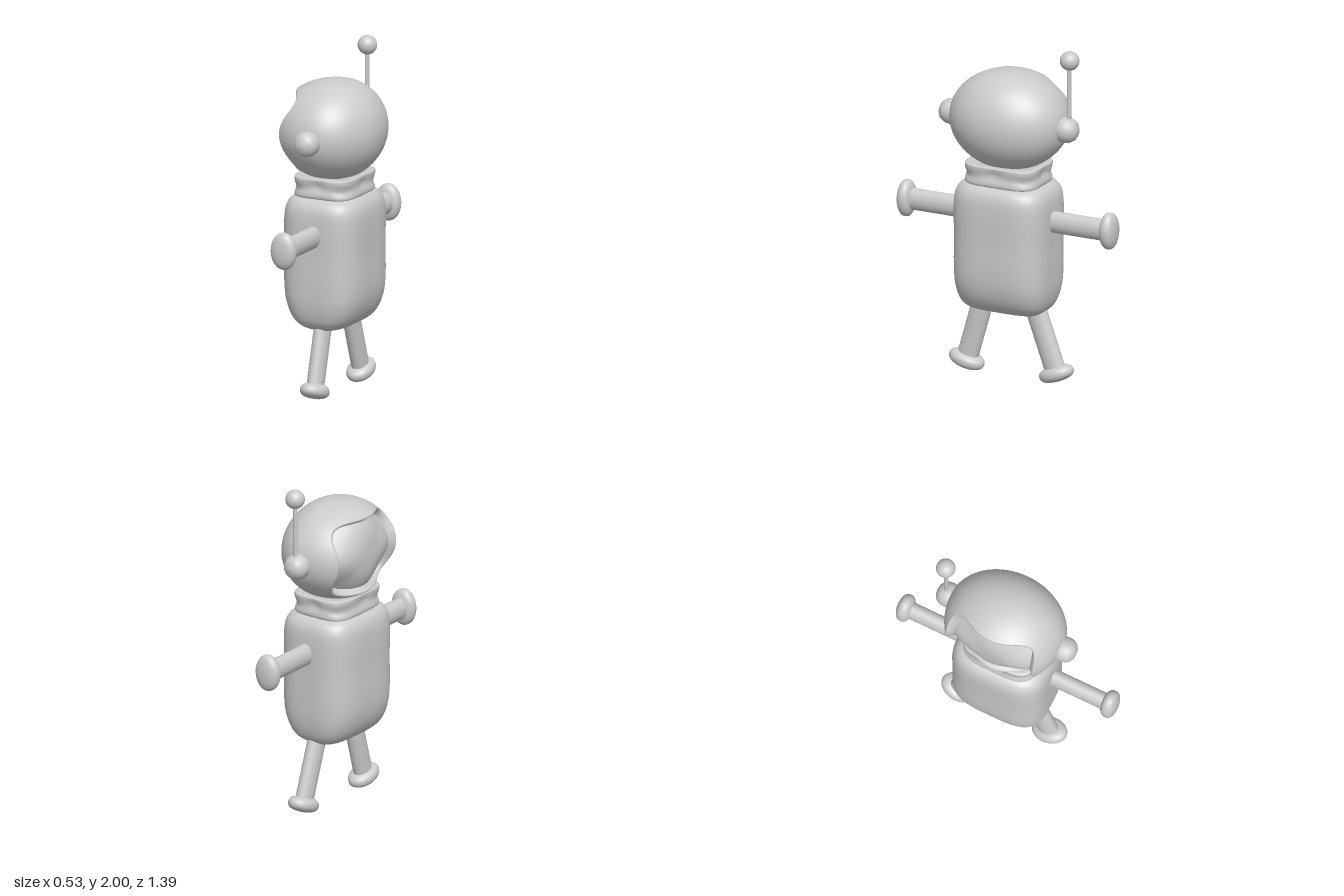
import * as THREE from 'three';

const grey = new THREE.MeshStandardMaterial({ color: 0xcccccc, side: THREE.DoubleSide });
const part = (geometry, name) => {
  const mesh = new THREE.Mesh(geometry, grey);
  mesh.name = name;
  return mesh;
};

// Closed-around grid: fn(angle, v) -> [x, y, z], v from 0 to 1
function ringGrid(fn, around, rows) {
  const pos = [], index = [];
  for (let j = 0; j <= rows; j++) {
    for (let i = 0; i < around; i++) pos.push(...fn((i / around) * Math.PI * 2, j / rows));
  }
  for (let j = 0; j < rows; j++) {
    for (let i = 0; i < around; i++) {
      const a = j * around + i, b = j * around + ((i + 1) % around);
      index.push(a, b, a + around, b, b + around, a + around);
    }
  }
  const g = new THREE.BufferGeometry();
  g.setAttribute('position', new THREE.Float32BufferAttribute(pos, 3));
  g.setIndex(index);
  g.computeVertexNormals();
  return g;
}

// Radius of a unit superellipse in direction a
const superRadius = (a, n) =>
  Math.pow(Math.abs(Math.cos(a)) ** n + Math.abs(Math.sin(a)) ** n, -1 / n);

// Upright loft through [y, half width x, half width z] sections
function loft(sections, cx, n, rows, fold = () => 1) {
  const curve = new THREE.CatmullRomCurve3(
    sections.map(([y, hx, hz]) => new THREE.Vector3(hx, y, hz)), false, 'centripetal');
  return ringGrid((a, v) => {
    const p = curve.getPoint(v), r = superRadius(a, n) * fold(a, p.y);
    return [cx + p.x * r * Math.cos(a), p.y, -p.z * r * Math.sin(a)];
  }, 64, rows);
}

// Helmet surface: an egg about the x axis, longer towards the face opening
const CX = -0.02, CY = 1.54, CZ = -0.005;
const onHelmet = (a, s, x) => [x, CY + 0.29 * s * Math.sin(a), CZ + 0.355 * s * Math.cos(a)];
const openingS = (a) => 0.79 * superRadius(a, 3.5);
const openingX = (a) => CX - 0.36 * Math.sqrt(1 - openingS(a) ** 2);

function helmet() {
  const group = new THREE.Group();
  group.name = 'helmet';
  const shell = ringGrid((a, v) => {
    const phi = v * (Math.PI - Math.asin(openingS(a)));
    const c = Math.cos(phi);
    return onHelmet(a, Math.sin(phi), CX + (c > 0 ? 0.28 : 0.36) * c);
  }, 80, 40);

  // Lip rolls from the shell edge down into the groove round the visor
  const lip = [[1, 0], [0.975, -0.005], [0.94, 0], [0.9, 0.014], [0.86, 0.028]];
  const rim = ringGrid((a, v) => {
    const [k, dx] = lip[Math.round(v * 4)];
    return onHelmet(a, openingS(a) * k, openingX(a) + dx);
  }, 80, 4);

  const visor = ringGrid((a, v) => {
    const k = 1 - v, edge = openingX(a) + 0.028;
    return onHelmet(a, openingS(a) * 0.86 * k, -0.258 + (edge + 0.258) * k ** 3);
  }, 80, 16);

  group.add(part(shell, 'helmetShell'), part(rim, 'visorRim'), part(visor, 'visor'));

  // Ear caps on both sides
  const cap = [[0.06, 0.28], [0.072, 0.34], [0.074, 0.37], [0.07, 0.395],
    [0.056, 0.42], [0.032, 0.435], [0, 0.44]].map((p) => new THREE.Vector2(...p));
  for (const side of [1, -1]) {
    const ear = part(new THREE.LatheGeometry(cap, 32), side > 0 ? 'frontEarCap' : 'backEarCap');
    ear.rotation.x = side * Math.PI / 2;
    ear.position.set(CX, 1.528, CZ);
    group.add(ear);
  }

  // Antenna standing on one ear cap
  const rod = part(new THREE.CylinderGeometry(0.013, 0.013, 0.38, 16), 'antennaRod');
  rod.position.set(CX, 1.73, -0.39);
  const ball = part(new THREE.SphereGeometry(0.056, 32, 20), 'antennaBall');
  ball.position.set(CX, 1.944, -0.393);
  group.add(rod, ball);
  return group;
}

// Oval stalk ending in a flattened pad; the origin is the pad centre, the stalk runs along -y
function limb(name, padName, length, angle, y, z) {
  const group = new THREE.Group();
  group.name = name;
  const stalk = part(new THREE.CylinderGeometry(1, 1, length, 32), name + 'Stalk');
  stalk.scale.set(0.047, 1, 0.064);
  stalk.position.y = -length / 2;
  const profile = [];
  for (let i = 0; i <= 20; i++) {
    const t = -Math.PI / 2 + (i / 20) * Math.PI;
    const r = superRadius(t, 2.4);
    profile.push(new THREE.Vector2(Math.max(0, r * Math.cos(t)), r * Math.sin(t)));
  }
  const pad = part(new THREE.LatheGeometry(profile, 40), padName);
  pad.scale.set(0.078, 0.046, 0.109);
  group.add(stalk, pad);
  group.rotation.x = THREE.MathUtils.degToRad(angle);
  group.position.set(-0.018, y, z);
  return group;
}

export function createModel() {
  const model = new THREE.Group();
  model.name = 'spaceFigure';

  // Torso: soft rounded block, rounder below
  const torso = loft([
    [0.4, 0, 0], [0.4, 0.08, 0.18], [0.415, 0.13, 0.225], [0.445, 0.172, 0.255],
    [0.49, 0.203, 0.273], [0.56, 0.228, 0.286], [0.65, 0.24, 0.29], [0.85, 0.24, 0.29],
    [1.06, 0.24, 0.29], [1.12, 0.23, 0.28], [1.155, 0.21, 0.258], [1.178, 0.17, 0.21],
    [1.18, 0, 0]], -0.025, 3.5, 72);
  model.add(part(torso, 'torso'));

  // Neck scarf with soft folds pinched at mid height
  const collar = loft([
    [1.172, 0.15, 0.19], [1.174, 0.185, 0.225], [1.19, 0.19, 0.231], [1.23, 0.184, 0.226],
    [1.27, 0.187, 0.229], [1.287, 0.185, 0.226], [1.285, 0.12, 0.15]], -0.026, 4, 30,
  (a, y) => 1 - 0.05 * Math.max(0, 1 - Math.abs(y - 1.232 - 0.018 * Math.cos(4 * a)) / 0.045)
    * (0.6 + 0.4 * Math.cos(8 * a)));
  model.add(part(collar, 'collar'));

  model.add(helmet());

  // Arms straight out, legs splayed
  model.add(
    limb('frontArm', 'frontHand', 0.42, 90, 0.967, 0.65),
    limb('backArm', 'backHand', 0.42, -90, 0.967, -0.648),
    limb('frontLeg', 'frontFoot', 0.45, 164, 0.064, 0.265),
    limb('backLeg', 'backFoot', 0.45, -160, 0.064, -0.31));
  return model;
}
